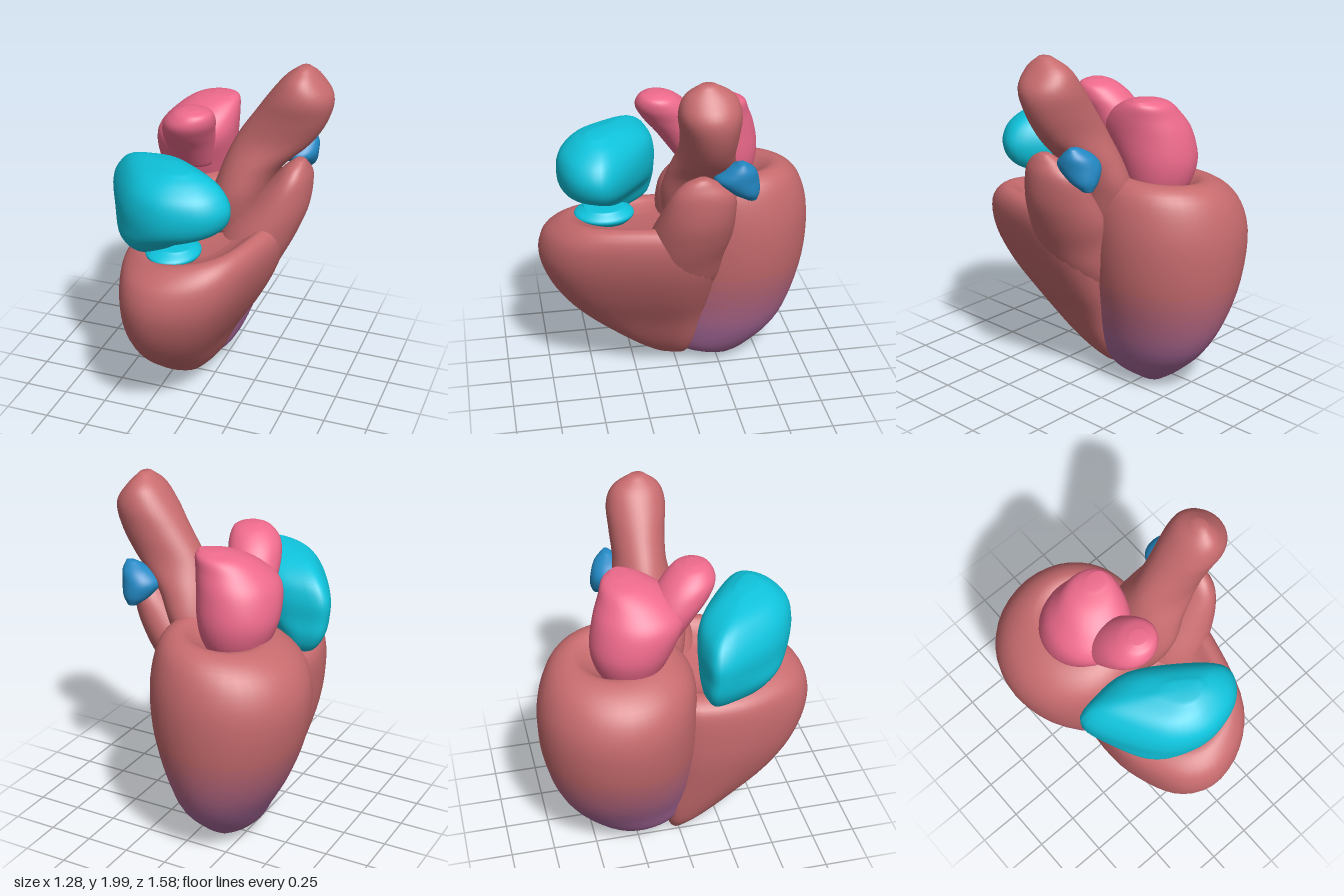
import * as THREE from 'three';

const SIDES = 40, ROWS = 36;
const V = (x, y, z) => new THREE.Vector3(x, y, z);
const mat = (color) => new THREE.MeshStandardMaterial({ color, roughness: 0.8 });

const ROUND = Array.from({ length: 12 }, (_, i) => {
  const a = (i / 12) * Math.PI * 2 - Math.PI / 2;
  return [Math.cos(a), Math.sin(a)];
});

// Smooth closed body from horizontal sections [y, xMin, xMax, zMin, zMax].
// Each section is the unit outline stretched to those bounds; tilt lifts the upper rows towards +x.
function loft(sections, outline = ROUND, tilt = 0) {
  const ring = new THREE.CatmullRomCurve3(outline.map(([x, z]) => V(x, 0, z)), true, 'catmullrom');
  const low = new THREE.CatmullRomCurve3(sections.map((s) => V(s[1], s[0], s[3])), false, 'catmullrom');
  const high = new THREE.CatmullRomCurve3(sections.map((s) => V(s[2], s[0], s[4])), false, 'catmullrom');
  const pos = [], idx = [];
  for (let i = -1; i <= ROWS + 1; i++) {
    const t = THREE.MathUtils.clamp(i / ROWS, 0, 1);
    const a = low.getPoint(t), b = high.getPoint(t);
    const c = a.clone().add(b).multiplyScalar(0.5), h = b.sub(a).multiplyScalar(0.5);
    const open = i < 0 || i > ROWS ? 0 : 1; // first and last rows close to a point
    const lift = tilt * THREE.MathUtils.smoothstep(t, 0.45, 0.8);
    for (let j = 0; j < SIDES; j++) {
      const p = ring.getPoint(j / SIDES);
      const x = c.x + p.x * h.x * open;
      pos.push(x, c.y + lift * x, c.z + p.z * h.z * open);
    }
  }
  for (let i = 0; i < ROWS + 2; i++) {
    for (let j = 0; j < SIDES; j++) {
      const k = (j + 1) % SIDES, r = i * SIDES, s = r + SIDES;
      idx.push(r + j, s + j, r + k, r + k, s + j, s + k);
    }
  }
  const g = new THREE.BufferGeometry();
  g.setAttribute('position', new THREE.Float32BufferAttribute(pos, 3));
  g.setIndex(idx);
  g.computeVertexNormals();
  return g;
}

export function createModel() {
  const model = new THREE.Group();
  model.name = 'heart';
  const muscle = mat(0xc76b6e), pink = mat(0xee6a8c), cyan = mat(0x0fc4dd), blue = mat(0x2389c4);
  const add = (name, geometry, material, parent = model) => {
    const m = new THREE.Mesh(geometry, material);
    m.name = name;
    parent.add(m);
  };

  // Left ventricle: rounded cone with a sunken top
  const lv = loft([
    [0.02, -0.2, -0.08, -0.36, -0.2],
    [0.1, -0.32, 0.02, -0.47, 0],
    [0.25, -0.41, 0.1, -0.62, 0.05],
    [0.45, -0.52, 0.16, -0.72, 0.08],
    [0.7, -0.61, 0.22, -0.78, 0.1],
    [0.95, -0.64, 0.24, -0.79, 0.1],
    [1.13, -0.59, 0.22, -0.75, 0.08],
    [1.24, -0.49, 0.17, -0.68, 0],
    [1.28, -0.38, 0.08, -0.58, -0.1],
    [1.22, -0.32, 0, -0.48, -0.15],
    [1.14, -0.26, -0.06, -0.4, -0.22],
  ], ROUND, 0.1);
  // Its colour shifts in bands from the purple apex to the muscle tone
  const ventricle = new THREE.Group();
  ventricle.name = 'leftVentricle';
  model.add(ventricle);
  const order = lv.index.array, rowSize = SIDES * 6;
  const rows = [0, 9, 10, 11, 12, 13, 14, 15, ROWS + 2];
  for (let b = 0; b < rows.length - 1; b++) {
    const band = lv.clone();
    band.setIndex(Array.from(order.slice(rows[b] * rowSize, rows[b + 1] * rowSize)));
    const tone = new THREE.Color(0xa8699b).lerp(new THREE.Color(0xc76b6e), b / (rows.length - 2));
    add('leftVentricleBand' + (b + 1), band, mat(tone), ventricle);
  }

  // Right ventricle: D-shaped body wrapping the front, with a hollowed top
  const dShape = [[-0.2, -1], [0.7, -0.95], [1, -0.6], [0.9, 0], [0.67, 0.6], [0.3, 0.9],
    [-0.2, 1], [-0.6, 0.85], [-0.85, 0.5], [-1, 0], [-0.9, -0.6]];
  add('rightVentricle', loft([
    [0.005, -0.23, -0.16, -0.04, 0.04],
    [0.08, -0.28, -0.04, -0.08, 0.16],
    [0.2, -0.32, 0.05, -0.12, 0.33],
    [0.4, -0.37, 0.15, -0.15, 0.57],
    [0.6, -0.41, 0.27, -0.18, 0.72],
    [0.8, -0.42, 0.37, -0.2, 0.79],
    [0.95, -0.41, 0.42, -0.2, 0.77],
    [1.03, -0.37, 0.41, -0.18, 0.7],
    [1.06, -0.3, 0.34, -0.12, 0.62],
    [1.02, -0.24, 0.26, 0, 0.52],
    [0.99, -0.15, 0.15, 0.1, 0.4],
  ], dShape, 0.17), muscle);

  // Outflow horn rising to the left
  add('outflowTract', loft([
    [0.6, 0, 0.22, -0.16, 0.18],
    [0.75, 0, 0.33, -0.2, 0.2],
    [0.9, 0.02, 0.41, -0.22, 0.22],
    [1.05, 0.08, 0.48, -0.25, 0.2],
    [1.2, 0.2, 0.53, -0.25, 0.16],
    [1.35, 0.33, 0.54, -0.23, 0.11],
    [1.43, 0.4, 0.52, -0.14, 0.05],
    [1.47, 0.45, 0.5, -0.08, -0.02],
  ]), muscle);

  // Aorta: leaning tube with a rounded end
  add('aorta', loft([
    [1.0, -0.1, 0.25, -0.25, 0.08],
    [1.13, -0.07, 0.27, -0.3, 0.11],
    [1.26, -0.02, 0.3, -0.32, 0.12],
    [1.4, 0.03, 0.37, -0.29, 0.09],
    [1.55, 0.1, 0.52, -0.25, 0.05],
    [1.7, 0.2, 0.61, -0.25, 0.06],
    [1.83, 0.29, 0.635, -0.25, 0.08],
    [1.93, 0.37, 0.57, -0.21, 0.05],
    [1.995, 0.45, 0.51, -0.11, -0.03],
  ]), muscle);

  // Right atrium: diagonal pouch resting in the right ventricle
  const pouch = [[-1, -0.82], [-0.66, -1], [-0.14, -0.97], [0.5, -0.47], [1, 0.12], [0.95, 0.58],
    [0.64, 0.9], [0.12, 1], [-0.4, 0.65], [-0.8, -0.12]];
  add('rightAtrium', loft([
    [0.98, -0.36, -0.26, 0.2, 0.35],
    [1.03, -0.45, -0.13, 0.13, 0.48],
    [1.12, -0.51, -0.02, 0.1, 0.58],
    [1.22, -0.53, 0.18, 0.1, 0.65],
    [1.33, -0.53, 0.24, 0.1, 0.67],
    [1.43, -0.47, 0.21, 0.13, 0.65],
    [1.5, -0.36, 0.13, 0.22, 0.58],
    [1.54, -0.15, 0.03, 0.36, 0.5],
  ], pouch), cyan);
  add('rightAtriumValve', loft([
    [0.97, -0.15, 0, 0.3, 0.48],
    [1.03, -0.24, 0.06, 0.24, 0.58],
    [1.08, -0.18, 0.02, 0.3, 0.52],
  ]), cyan);

  // Left atrium: main sac and a forward lobe
  add('leftAtrium', loft([
    [1.12, -0.32, -0.05, -0.4, -0.12],
    [1.22, -0.38, 0, -0.46, -0.08],
    [1.35, -0.42, 0.03, -0.485, -0.02],
    [1.5, -0.4, 0.05, -0.46, 0.04],
    [1.6, -0.32, 0.055, -0.42, -0.03],
    [1.67, -0.22, 0.045, -0.39, -0.14],
    [1.7, -0.1, 0.02, -0.33, -0.24],
  ]), pink);
  add('leftAtriumLobe', loft([
    [1.34, -0.28, -0.05, -0.2, 0],
    [1.48, -0.3, -0.02, -0.18, 0.1],
    [1.58, -0.29, 0, -0.13, 0.18],
    [1.66, -0.26, 0.02, -0.07, 0.22],
    [1.72, -0.2, 0.01, 0, 0.2],
    [1.745, -0.14, -0.05, 0.07, 0.15],
  ]), pink);

  // Pulmonary artery stub: small pointed bead
  add('pulmonaryArtery', loft([
    [1.31, 0.4, 0.46, -0.35, -0.29],
    [1.36, 0.34, 0.5, -0.365, -0.2],
    [1.43, 0.3, 0.52, -0.36, -0.12],
    [1.49, 0.35, 0.52, -0.335, -0.17],
    [1.54, 0.44, 0.5, -0.28, -0.24],
  ]), blue);

  return model;
}
